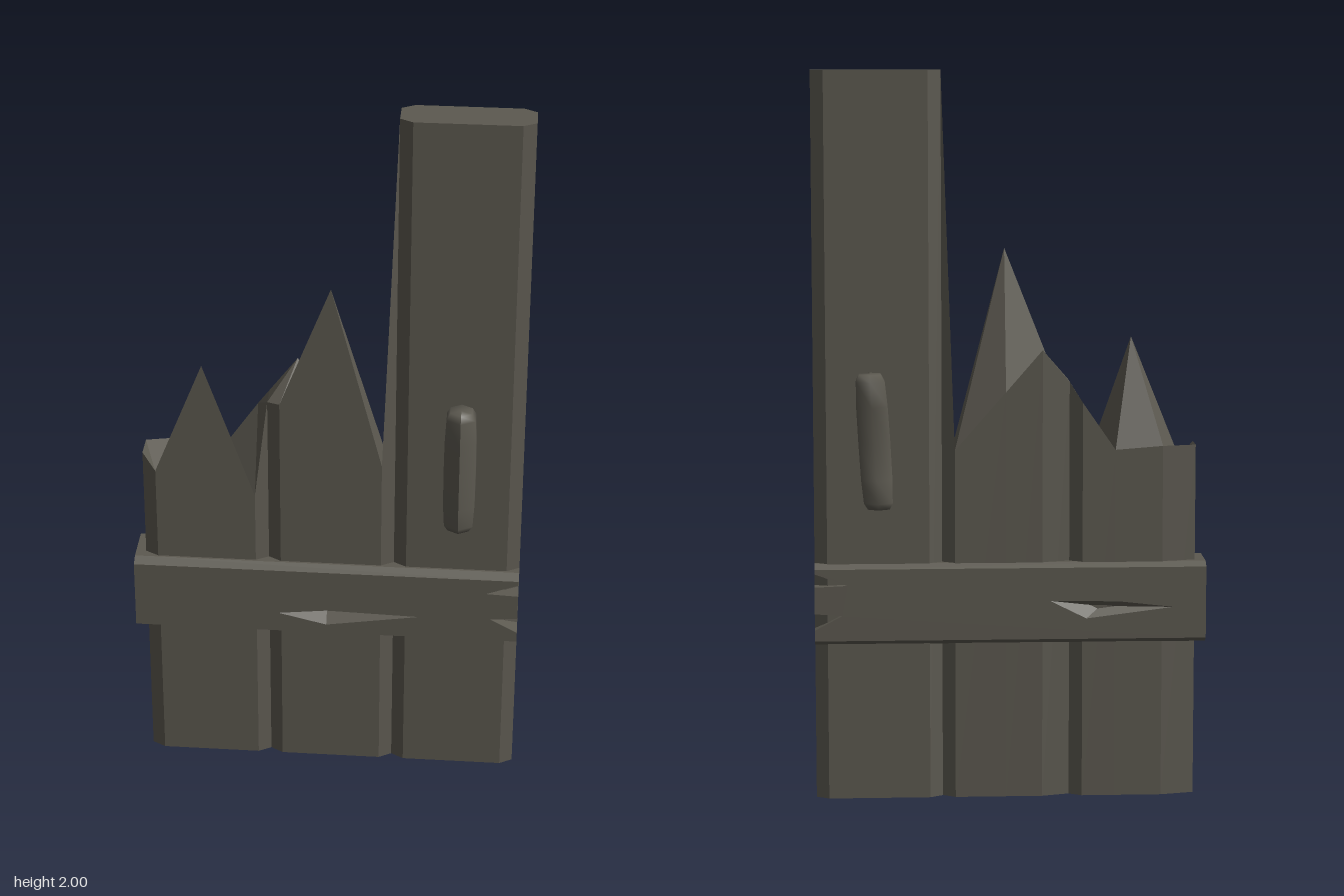
import * as THREE from 'three';

const material = new THREE.MeshStandardMaterial({ color: 0x5c5950, flatShading: true });
const smoothMaterial = new THREE.MeshStandardMaterial({ color: 0x5c5950 });

function addMesh(parent, name, geometry, mat = material) {
  const mesh = new THREE.Mesh(geometry, mat);
  mesh.name = name;
  parent.add(mesh);
  return mesh;
}

// Plank with chamfered edges; front and back list [x, topHeight] from left to right
function plankGeometry(front, back, flip) {
  const positions = [];
  const tri = (...pts) => pts.forEach(p => positions.push(...p));
  const quad = (a, b, c, d) => { tri(a, b, c); tri(a, c, d); };
  const last = front.length - 1;
  const chain = (pts, side) => pts.map(([x, y], i) => [x, y, side * (i === 0 || i === last ? 0.035 : 0.056)]);
  const f = chain(front, 1), b = chain(back, -1);
  const foot = p => [p[0], 0, p[2]];
  for (let i = 0; i < last; i++) {
    const j = i + 1;
    quad(foot(f[i]), foot(f[j]), f[j], f[i]);
    quad(foot(b[j]), foot(b[i]), b[i], b[j]);
    if (flip) quad(f[j], b[j], b[i], f[i]);
    else quad(f[i], f[j], b[j], b[i]);
    quad(foot(b[i]), foot(b[j]), foot(f[j]), foot(f[i]));
  }
  quad(foot(b[0]), foot(f[0]), f[0], b[0]);
  quad(foot(f[last]), foot(b[last]), b[last], f[last]);
  const g = new THREE.BufferGeometry();
  g.setAttribute('position', new THREE.Float32BufferAttribute(positions, 3));
  g.computeVertexNormals();
  return g;
}

// Face of the cross bar: split right end, gouge opening, chamfered long edges
const BAR = { left: -0.54, right: 0.535, bottom: 0.435, top: 0.66, depth: 0.052 };
function barGeometry(gouge) {
  const { left, right, bottom, top, depth } = BAR;
  const shape = new THREE.Shape([
    [left, bottom], [right, bottom], [right, 0.478], [0.46, 0.518], [right, 0.524],
    [right, 0.598], [0.445, 0.602], [right, 0.635], [right, top], [left, top],
  ].map(p => new THREE.Vector2(...p)));
  shape.holes.push(new THREE.Path(gouge.map(p => new THREE.Vector2(...p))));
  const g = new THREE.ExtrudeGeometry(shape, { depth, steps: 2, bevelEnabled: false });
  const pos = g.attributes.position;
  for (let i = 0; i < pos.count; i++) {
    if (pos.getZ(i) < depth - 0.001) continue;
    const y = pos.getY(i);
    if (y > top - 0.001) pos.setY(i, top - 0.013);
    if (y < bottom + 0.001) pos.setY(i, bottom + 0.013);
  }
  g.computeVertexNormals();
  return g;
}

// Sloping walls of the gouge, meeting at a deep point
function gougeGeometry(rim, deep) {
  const positions = [];
  rim.forEach((p, i) => {
    const q = rim[(i + 1) % rim.length];
    positions.push(...p, BAR.depth, ...q, BAR.depth, ...deep, 0.022);
  });
  const g = new THREE.BufferGeometry();
  g.setAttribute('position', new THREE.Float32BufferAttribute(positions, 3));
  g.computeVertexNormals();
  return g;
}

// Six-sided rounded handle, its centre line bent by a rule
function handleGeometry(bend) {
  const profile = [[0, 0.82], [0.034, 0.82], [0.045, 0.838], [0.049, 0.9], [0.05, 1.0],
    [0.049, 1.1], [0.045, 1.168], [0.034, 1.187], [0, 1.187]].map(p => new THREE.Vector2(...p));
  const g = new THREE.LatheGeometry(profile, 6);
  const pos = g.attributes.position;
  for (let i = 0; i < pos.count; i++) {
    const [dx, dz] = bend(pos.getY(i));
    pos.setX(i, pos.getX(i) + dx);
    pos.setZ(i, pos.getZ(i) + dz);
  }
  g.computeVertexNormals();
  return g;
}

export function createModel() {
  const group = new THREE.Group();
  group.name = 'brokenWoodenDoor';

  // Planks
  addMesh(group, 'shortBrokenPlank', plankGeometry(
    [[-0.512, 0.98], [-0.475, 0.935], [-0.34, 1.27], [-0.2, 0.87], [-0.165, 1.155]],
    [[-0.512, 0.98], [-0.42, 0.98], [-0.29, 0.97], [-0.2, 1.1], [-0.165, 1.155]], true));
  addMesh(group, 'middleBrokenPlank', plankGeometry(
    [[-0.165, 1.155], [-0.13, 1.16], [0.01, 1.515], [0.15, 0.98], [0.185, 2]],
    [[-0.165, 1.155], [-0.09, 1.245], [0.01, 1.13], [0.15, 0.97], [0.185, 2]], false));
  const tall = [[0.185, 2], [0.22, 2], [0.5, 2], [0.535, 2]];
  addMesh(group, 'tallPlank', plankGeometry(tall, tall, false));

  // Cross bar on both faces, with a core closing its far end
  const core = addMesh(group, 'crossBarCore', new THREE.BoxGeometry(0.9, BAR.top - BAR.bottom, 0.08));
  core.position.set(BAR.left + 0.45, (BAR.top + BAR.bottom) / 2, 0);
  const sides = [
    { name: 'front', z: 0.036, scale: 1, rim: [[-0.135, 0.507], [0, 0.475], [0.26, 0.515], [0, 0.522]], deep: [0, 0.51] },
    { name: 'back', z: -0.034, scale: -0.78, rim: [[-0.45, 0.535], [-0.21, 0.505], [-0.11, 0.555], [-0.3, 0.552]], deep: [-0.25, 0.535] },
  ];
  for (const { name, z, scale, rim, deep } of sides) {
    const bar = new THREE.Group();
    bar.name = name + 'CrossBar';
    bar.position.z = z;
    bar.scale.z = scale;
    addMesh(bar, name + 'Board', barGeometry(rim));
    addMesh(bar, name + 'Gouge', gougeGeometry(rim, deep));
    group.add(bar);
  }

  // Handles: straight in front, bent behind
  addMesh(group, 'frontHandle', handleGeometry(() => [0.364, 0.095]), smoothMaterial);
  addMesh(group, 'backHandle', handleGeometry(y => {
    const t = (y - 0.82) / 0.367;
    return [0.358 + 0.022 * t, -0.089 + 0.013 * Math.sin(t * 8 - 2.2)];
  }), smoothMaterial);
  return group;
}
